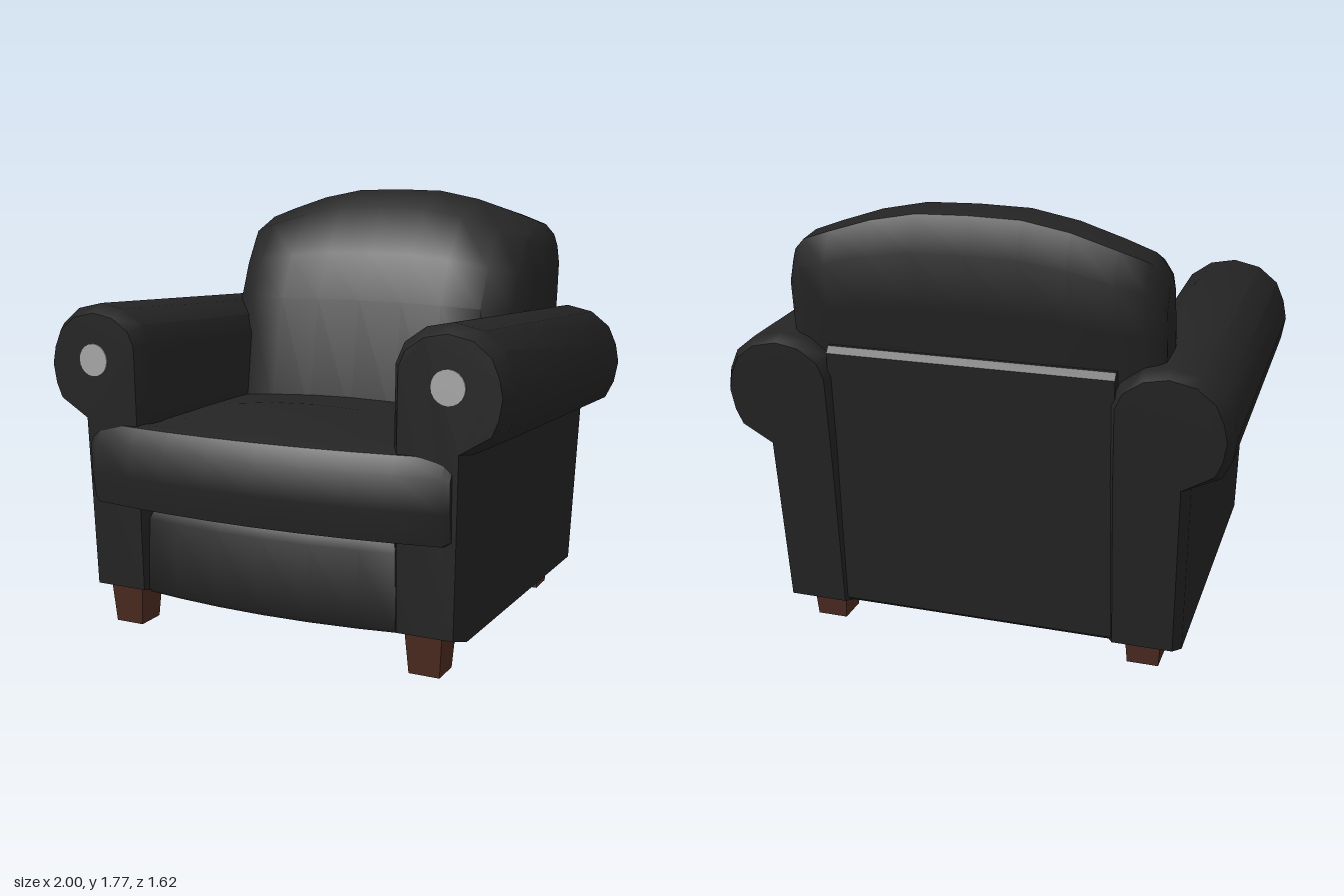
import * as THREE from 'three';
import { toCreasedNormals } from 'three/addons/utils/BufferGeometryUtils.js';

const leather = new THREE.MeshStandardMaterial({ color: 0x242424 });
leather.name = 'black leather';
const wood = new THREE.MeshStandardMaterial({ color: 0x4c2b21 });
wood.name = 'brown wood';
const metal = new THREE.MeshStandardMaterial({ color: 0xa8a8a8 });
metal.name = 'grey button';

const V = (x, y, z) => new THREE.Vector3(x, y, z);
const clamp = THREE.MathUtils.clamp;

// Closed solid through a row of rings, capped at both ends
function loft(rings, crease = 0.7) {
  const centre = r => r.reduce((s, p) => s.add(p), V(0, 0, 0)).divideScalar(r.length);
  const axis = centre(rings[rings.length - 1]).sub(centre(rings[0])).normalize();
  const n = rings[0].length;
  const area = V(0, 0, 0);
  rings[0].forEach((p, i) => area.add(V(0, 0, 0).crossVectors(p, rings[0][(i + 1) % n])));
  if (area.dot(axis) < 0) rings = rings.map(r => [...r].reverse());

  const pos = [];
  const tri = (...ps) => ps.forEach(p => pos.push(p.x, p.y, p.z));
  for (let i = 0; i < rings.length - 1; i++) {
    for (let j = 0; j < n; j++) {
      const k = (j + 1) % n, a = rings[i], b = rings[i + 1];
      tri(a[j], a[k], b[k]);
      tri(a[j], b[k], b[j]);
    }
  }
  const alongX = Math.abs(axis.x) > Math.abs(axis.z);
  const cap = (ring, out) => {
    const flat = ring.map(p => new THREE.Vector2(alongX ? p.z : p.x, p.y));
    for (const [a, b, c] of THREE.ShapeUtils.triangulateShape(flat, [])) {
      const p = ring[a], q = ring[b], r = ring[c];
      const normal = q.clone().sub(p).cross(r.clone().sub(p));
      if (normal.dot(out) > 0) tri(p, q, r); else tri(p, r, q);
    }
  };
  cap(rings[0], axis.clone().negate());
  cap(rings[rings.length - 1], axis);

  const geo = new THREE.BufferGeometry();
  geo.setAttribute('position', new THREE.Float32BufferAttribute(pos, 3));
  return toCreasedNormals(geo, crease);
}

// Symmetric solid across x: section(x) returns [z, y] points
function across(halfXs, section, crease) {
  const xs = [...halfXs.slice(1).reverse().map(x => -x), ...halfXs];
  return loft(xs.map(x => section(Math.abs(x)).map(([z, y]) => V(x, y, z))), crease);
}

// Scroll arm, lofted from front to back with bevelled ends
const ARM = [
  [0.53, 0.15], [0.53, 0.85], [0.535, 1.17], [0.57, 1.25], [0.655, 1.31], [0.76, 1.33],
  [0.87, 1.305], [0.95, 1.24], [0.985, 1.16], [1.0, 1.08], [0.985, 0.99], [0.95, 0.915],
  [0.84, 0.86], [0.82, 0.15],
];
function armGeometry(side) {
  const ring = (inset, t, dz) => ARM.map(([x, y], i) => {
    const a = ARM[(i + ARM.length - 1) % ARM.length], b = ARM[(i + 1) % ARM.length];
    const dx = b[0] - a[0], dy = b[1] - a[1], len = Math.hypot(dx, dy);
    x += dy / len * inset;
    y -= dx / len * inset;
    const h = clamp((y - 0.14) / 1.05, 0, 1);
    const front = 0.69 + 0.02 * clamp(h * 1.3, 0, 1) - dz;
    const back = -0.73 - 0.08 * h + dz;
    return V(side * x, y - t * (0.03 + 0.03 * y), t ? back : front);
  });
  return loft([ring(0.035, 0, 0), ring(0, 0, 0.06), ring(0, 1, 0.05), ring(0.03, 1, 0)]);
}

// Backrest: side profile, arched and thinned towards its ends
const BACK = [
  [-0.08, 0.8], [-0.17, 1.3], [-0.26, 1.5], [-0.39, 1.69], [-0.61, 1.77],
  [-0.74, 1.75], [-0.8, 1.62], [-0.775, 1.4], [-0.745, 1.2], [-0.68, 0.8],
];
const BACK_ENDS = { // x: [top height, thinning]
  0: [1.77, 0], 0.2: [1.765, 0], 0.38: [1.73, 0], 0.55: [1.675, 0.05],
  0.66: [1.635, 0.28], 0.705: [1.59, 0.52], 0.727: [1.54, 0.8],
};
function backSection(x) {
  const [top, thin] = BACK_ENDS[x];
  const k = (top - 1.2) / 0.57;
  return BACK.map(([z, y]) => [
    THREE.MathUtils.lerp(z, -0.62, z > -0.62 ? thin : thin * 0.6),
    y > 1.2 ? 1.2 + (y - 1.2) * k : y,
  ]);
}

// Seat cushion: bowed front, crowned top; its wide rear lies inside the arms
function seatSection(x) {
  const f = 0.81 - 0.075 * (x / 0.78) ** 2;
  const c = Math.max(0, 1 - (x / 0.58) ** 2);
  const e = x > 0.77 ? 0.015 : 0;
  return [
    [-0.14, 0.85 + 0.03 * c], [0.25, 0.85 + 0.06 * c], [0.55, 0.85 + 0.04 * c],
    [f - 0.09, 0.855 - e], [f - 0.055, 0.845 - e], [f - 0.012, 0.78 - e], [f - e, 0.65],
    [f - 0.02 - e, 0.525 + e], [f - 0.09, 0.51 + e], [-0.14, 0.51],
  ];
}

// Base with a bowed front apron
function baseSection(x) {
  const f = 0.722 - 0.05 * (x / 0.55) ** 2;
  return [[-0.69, 0.12], [f - 0.015, 0.15], [f, 0.17], [f - 0.01, 0.46], [f - 0.03, 0.5], [-0.69, 0.5]];
}

// Leaning panel closing the back between the arms
const panelSection = () => [
  [-0.705, 0.125], [-0.72, 0.14], [-0.785, 1.2], [-0.765, 1.225], [-0.6, 1.225], [-0.6, 0.125],
];

export function createModel() {
  const chair = new THREE.Group();
  chair.name = 'armchair';
  const add = (name, geo, mat) => {
    const mesh = new THREE.Mesh(geo, mat);
    mesh.name = name;
    chair.add(mesh);
    return mesh;
  };

  add('base', across([0, 0.2, 0.4, 0.55], baseSection), leather);
  add('seatCushion', across([0, 0.2, 0.4, 0.57, 0.75, 0.78], seatSection), leather);
  add('backrest', across(Object.keys(BACK_ENDS).map(Number).sort((a, b) => a - b), backSection), leather);
  add('backPanel', across([0, 0.56], panelSection), leather);

  // Tapered square leg
  const leg = new THREE.CylinderGeometry(0.106, 0.088, 0.17, 4, 1).toNonIndexed();
  leg.rotateY(Math.PI / 4);
  leg.translate(0, 0.085, 0);
  leg.computeVertexNormals();

  for (const [side, label] of [[1, 'left'], [-1, 'right']]) {
    add(label + 'Arm', armGeometry(side), leather);

    // Round button on the arm front
    const disc = new THREE.CylinderGeometry(0.067, 0.067, 0.008, 20);
    disc.rotateX(Math.PI / 2);
    add(label + 'ArmButton', disc, metal).position.set(side * 0.763, 1.105, 0.712);

    add(label + 'FrontLeg', leg, wood).position.set(side * 0.662, 0, 0.595);
    add(label + 'BackLeg', leg, wood).position.set(side * 0.662, 0, -0.58);
  }
  return chair;
}
